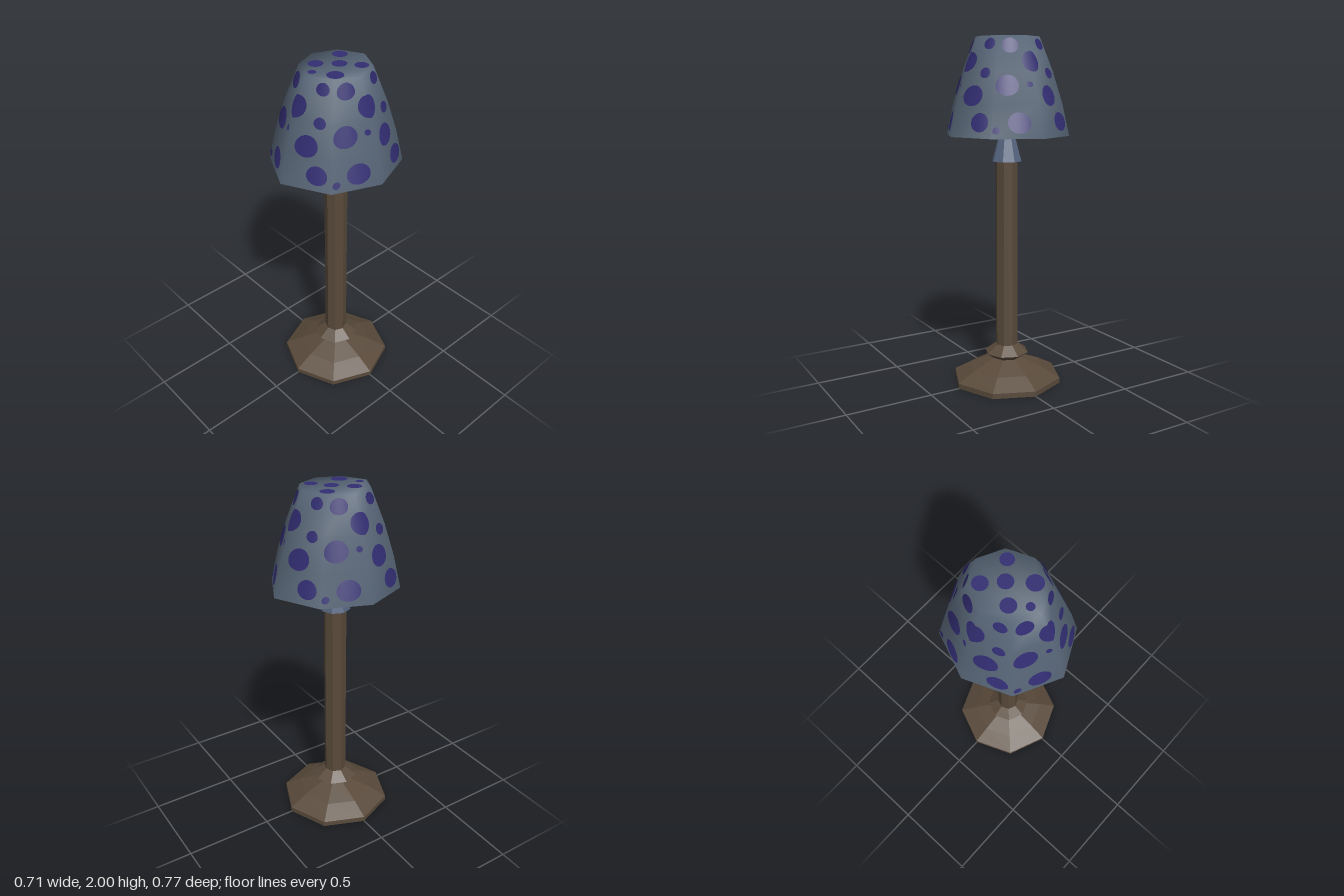
import * as THREE from 'three';
import { mergeGeometries } from 'three/addons/utils/BufferGeometryUtils.js';

const SIDES = 8;

// Shade rings: height, half width (x), half depth (z)
const RINGS = [
  [1.458, 0.355, 0.384],
  [1.64, 0.314, 0.338],
  [1.81, 0.26, 0.282],
  [2.0, 0.185, 0.2],
];

// Corner k of an eight-sided ring, k = 0 at the front, turning towards +x
function corner(k, y, rx, rz) {
  const a = (k * Math.PI * 2) / SIDES;
  const squeeze = k % 2 === 0 ? 1 : 0.95; // diagonal corners sit slightly in along z
  return new THREE.Vector3(Math.sin(a) * rx, y, Math.cos(a) * rz * squeeze);
}

// Point on the shade wall; s counts corners around, y is the height
function onShade(s, y) {
  let i = 0;
  while (i < RINGS.length - 2 && y > RINGS[i + 1][0]) i++;
  const [y0, x0, z0] = RINGS[i];
  const [y1, x1, z1] = RINGS[i + 1];
  const t = (y - y0) / (y1 - y0);
  const rx = THREE.MathUtils.lerp(x0, x1, t);
  const rz = THREE.MathUtils.lerp(z0, z1, t);
  const k = Math.floor(s);
  return corner(k, y, rx, rz).lerp(corner(k + 1, y, rx, rz), s - k);
}

// Smooth shade wall with its closed top
function shadeGeometry() {
  const pos = [];
  const index = [];
  RINGS.forEach(([y, rx, rz]) => {
    for (let k = 0; k < SIDES; k++) pos.push(...corner(k, y, rx, rz).toArray());
  });
  for (let i = 0; i < RINGS.length - 1; i++) {
    for (let k = 0; k < SIDES; k++) {
      const a = i * SIDES + k;
      const b = i * SIDES + ((k + 1) % SIDES);
      index.push(a, b, b + SIDES, a, b + SIDES, a + SIDES);
    }
  }
  const top = (RINGS.length - 1) * SIDES;
  for (let k = 1; k < SIDES - 1; k++) index.push(top, top + k, top + k + 1);
  const g = new THREE.BufferGeometry();
  g.setAttribute('position', new THREE.Float32BufferAttribute(pos, 3));
  g.setIndex(index);
  g.computeVertexNormals();
  return g;
}

// A round spot wrapped onto the wall: a fine disc whose points follow the surface
function wallSpot(s, y, r) {
  const g = new THREE.RingGeometry(0.0001, r, 24, 6);
  const p = g.attributes.position;
  const n = g.attributes.normal;
  const mid = onShade(s, y);
  const edge = 0.765 * Math.hypot(mid.x, mid.z);
  for (let i = 0; i < p.count; i++) {
    const v = onShade(s + p.getX(i) / edge, Math.min(1.998, y + p.getY(i) * 0.95));
    const out = new THREE.Vector3(v.x, 0, v.z).normalize().setY(0.3).normalize();
    v.addScaledVector(out, 0.004);
    p.setXYZ(i, v.x, v.y, v.z);
    n.setXYZ(i, out.x, out.y, out.z);
  }
  return g;
}

// Eight-sided turned part with flat facets
function turned(profile) {
  const points = profile.map(([r, y]) => new THREE.Vector2(r, y));
  const g = new THREE.LatheGeometry(points, SIDES).toNonIndexed();
  g.computeVertexNormals();
  return g;
}

export function createModel() {
  const model = new THREE.Group();
  model.name = 'tableLamp';

  const material = (name, color) => {
    const m = new THREE.MeshStandardMaterial({ color });
    m.name = name;
    return m;
  };
  const wood = material('darkWood', 0x594a3b);
  const slate = material('slateShade', 0x566475);
  const socketBlue = material('socketBlue', 0x566681);
  const indigo = material('indigoSpots', 0x322d72);

  const add = (name, geometry, mat) => {
    const mesh = new THREE.Mesh(geometry, mat);
    mesh.name = name;
    model.add(mesh);
    return mesh;
  };

  // Wooden stand
  add('base', turned([[0, 0], [0.323, 0], [0.323, 0.03], [0.22, 0.085], [0.085, 0.14], [0, 0.14]]), wood);
  add('collar', turned([[0.085, 0.14], [0.13, 0.172], [0.064, 0.222], [0, 0.222]]), wood);
  add('pole', turned([[0.065, 0.2], [0.065, 1.31], [0, 1.31]]), wood);

  // Tapered socket under the shade
  add('socket', turned([[0, 1.308], [0.087, 1.308], [0.046, 1.46]]), socketBlue);

  // Shade and its flat underside
  add('shade', shadeGeometry(), slate);
  const [y0, rx, rz] = RINGS[0];
  const outline = new THREE.Shape();
  for (let k = 0; k < SIDES; k++) {
    const c = corner(k, 0, rx, rz);
    if (k === 0) outline.moveTo(c.x, c.z);
    else outline.lineTo(c.x, c.z);
  }
  const under = new THREE.ShapeGeometry(outline);
  under.rotateX(Math.PI / 2);
  add('shadeUnderside', under, slate).position.y = y0;

  // Wall spots: around, height, radius; the pattern repeats on each quarter
  const wall = [
    [-0.45, 1.54, 0.058], [0.7, 1.54, 0.053], [-0.9, 1.5, 0.02],
    [0.43, 1.68, 0.058], [-0.69, 1.735, 0.058], [-0.16, 1.74, 0.016],
    [0.69, 1.8, 0.03], [0, 1.86, 0.057], [-0.6, 1.945, 0.042], [0.68, 1.955, 0.032],
  ];
  const spots = [];
  for (let quarter = 0; quarter < 4; quarter++) {
    for (const [s, y, r] of wall) spots.push(wallSpot(s + quarter * 2, y, r));
  }
  add('wallSpots', mergeGeometries(spots), indigo);

  // Spots on the flat top: x, z, radius
  const top = [
    [-0.08, -0.1, 0.04], [0.093, -0.09, 0.036], [0.005, -0.02, 0.04],
    [-0.075, 0.07, 0.04], [0.09, 0.085, 0.044], [-0.012, 0.147, 0.022],
  ];
  const topSpots = top.map(([x, z, r]) =>
    new THREE.CircleGeometry(r, 24).rotateX(-Math.PI / 2).translate(x, 2.002, z));
  add('topSpots', mergeGeometries(topSpots), indigo);

  return model;
}
